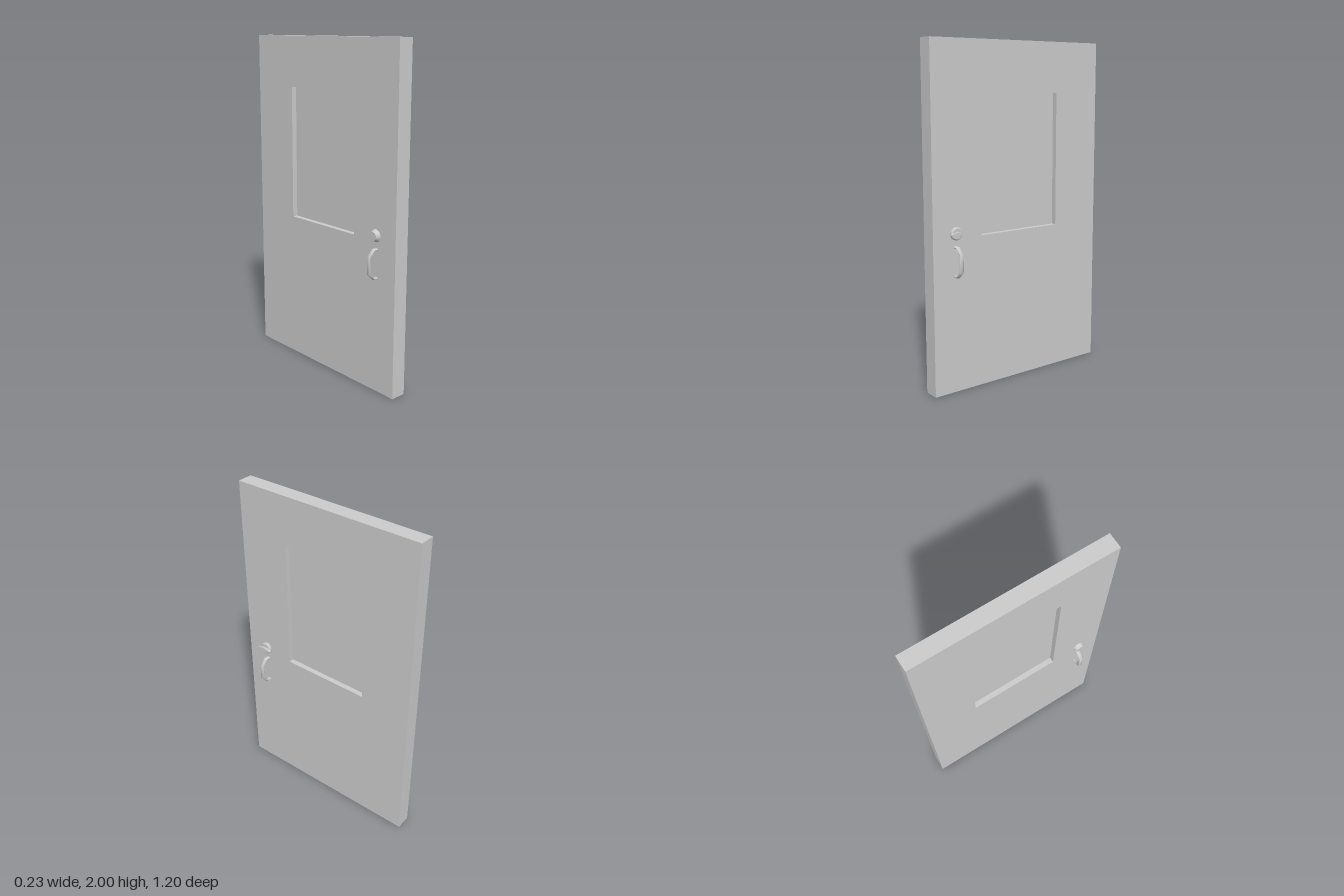
import * as THREE from 'three';

const grey = new THREE.MeshStandardMaterial({ color: 0xcccccc });
const flatGrey = new THREE.MeshStandardMaterial({ color: 0xcccccc, flatShading: true });

const BACK = -0.049, FRONT = 0.045;   // x of the two door faces
const HARDWARE_Z = 0.455, LOCK_Y = 0.933;

function add(parent, name, geometry, material = grey) {
  const mesh = new THREE.Mesh(geometry, material);
  mesh.name = name;
  parent.add(mesh);
  return mesh;
}

// Rectangle given by its edges
function rect(Type, x0, y0, x1, y1) {
  return new Type([
    new THREE.Vector2(x0, y0), new THREE.Vector2(x1, y0),
    new THREE.Vector2(x1, y1), new THREE.Vector2(x0, y1),
  ]);
}

// Pull handle: an oval section swept along a C with cut corners, in the xy plane
function handleGeometry(faceX, outerX) {
  const s = Math.sign(outerX), cut = 0.034, a = 0.0065, b = 0.0135, sides = 16;
  const out = outerX - s * a, low = 0.6865, high = 0.8535;
  const path = [
    [faceX - s * 0.004, low], [out - s * cut, low], [out, low + cut],
    [out, high - cut], [out - s * cut, high], [faceX - s * 0.004, high],
  ].map(([x, y]) => new THREE.Vector2(x, y));
  const positions = [], indices = [];
  path.forEach((p, i) => {
    const before = p.clone().sub(path[Math.max(i - 1, 0)]).normalize();
    const after = path[Math.min(i + 1, path.length - 1)].clone().sub(p).normalize();
    const dir = before.clone().add(after).normalize();
    const miter = 1 / dir.dot(i ? before : after);
    for (let j = 0; j < sides; j++) {
      const t = (j / sides) * Math.PI * 2, r = Math.cos(t) * a * miter;
      positions.push(p.x - dir.y * r, p.y + dir.x * r, HARDWARE_Z + Math.sin(t) * b);
      if (i === 0) continue;
      const k = (j + 1) % sides, c = i * sides, d = c - sides;
      indices.push(d + j, c + j, c + k, d + j, c + k, d + k);
    }
  });
  // The section winds the same way round the path on both sides of the door
  for (let n = 0; n < indices.length; n += 3) {
    [indices[n + 1], indices[n + 2]] = [indices[n + 2], indices[n + 1]];
  }
  const g = new THREE.BufferGeometry();
  g.setAttribute('position', new THREE.Float32BufferAttribute(positions, 3));
  g.setIndex(indices);
  g.computeVertexNormals();
  return g;
}

// Round part lying along x, from xa (radius ra) to xb (radius rb), xa < xb
function roundX(xa, ra, xb, rb) {
  return new THREE.CylinderGeometry(rb, ra, xb - xa, 24)
    .rotateZ(-Math.PI / 2)
    .translate((xa + xb) / 2, LOCK_Y, HARDWARE_Z);
}

export function createModel() {
  const door = new THREE.Group();
  door.name = 'door';

  // Slab with a window opening, drawn in (-z, y) and extruded along x
  const slab = rect(THREE.Shape, -0.6, 0, 0.6, 2);
  slab.holes.push(rect(THREE.Path, -0.275, 0.9, 0.28, 1.7));
  add(door, 'doorSlab', new THREE.ExtrudeGeometry(slab, { depth: FRONT - BACK, bevelEnabled: false })
    .rotateY(Math.PI / 2).translate(BACK, 0, 0), flatGrey);

  // Recessed pane
  add(door, 'windowPane', new THREE.BoxGeometry(0.03, 0.8, 0.555)
    .translate((FRONT + BACK) / 2, 1.3, -0.0025), flatGrey);

  // Pull handles on both faces
  const handleMaterial = grey.clone();
  handleMaterial.side = THREE.DoubleSide;
  add(door, 'frontHandle', handleGeometry(FRONT, 0.113), handleMaterial);
  add(door, 'backHandle', handleGeometry(BACK, -0.113), handleMaterial);

  // Lock with thumb turn on the +x face
  const turnLock = new THREE.Group();
  turnLock.name = 'turnLock';
  door.add(turnLock);
  add(turnLock, 'lockStem', roundX(FRONT - 0.004, 0.022, 0.051, 0.022));
  add(turnLock, 'lockRose', roundX(0.05, 0.037, 0.062, 0.037));
  add(turnLock, 'lockRoseBevel', roundX(0.062, 0.037, 0.068, 0.031));
  const lens = new THREE.Shape();
  lens.moveTo(-0.048, 0);
  lens.quadraticCurveTo(0, -0.021, 0.048, 0);
  lens.quadraticCurveTo(0, 0.021, -0.048, 0);
  add(turnLock, 'thumbTurn', new THREE.ExtrudeGeometry(lens, { depth: 0.016, bevelEnabled: false, curveSegments: 8 })
    .rotateY(Math.PI / 2).translate(0.067, LOCK_Y, HARDWARE_Z));

  // Tapered key cylinder on the -x face
  const keyLock = new THREE.Group();
  keyLock.name = 'keyLock';
  door.add(keyLock);
  add(keyLock, 'keyStem', roundX(-0.057, 0.022, BACK + 0.004, 0.022));
  add(keyLock, 'keyCylinder', roundX(-0.08, 0.025, -0.056, 0.037));

  return door;
}
